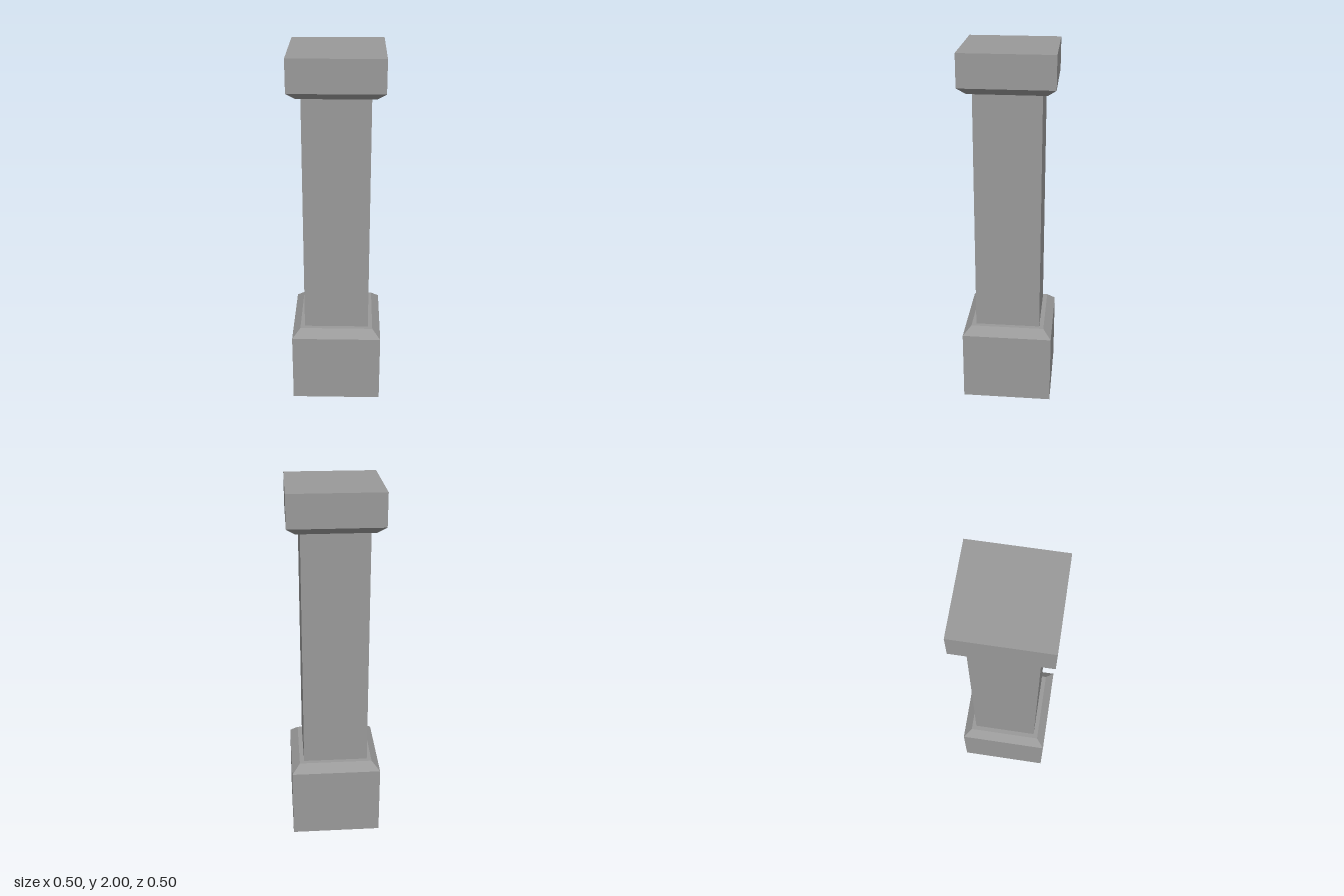
import * as THREE from 'three';

const stone = new THREE.MeshStandardMaterial({ color: 0x999999 });
stone.name = 'grey stone';

// Square-plan solid from a profile of [half width, height], bottom to top
function squareBlock(name, profile) {
  const points = profile.map(([half, y]) => new THREE.Vector2(half * Math.SQRT2, y));
  const geometry = new THREE.LatheGeometry(points, 4, Math.PI / 4).toNonIndexed();
  geometry.computeVertexNormals(); // crisp flat faces
  const mesh = new THREE.Mesh(geometry, stone);
  mesh.name = name;
  return mesh;
}

export function createModel() {
  const pillar = new THREE.Group();
  pillar.name = 'pillar';

  // Tall base with a chamfered upper edge
  pillar.add(squareBlock('base', [[0, 0], [0.25, 0], [0.25, 0.4], [0.205, 0.445], [0, 0.445]]));

  // Plain square shaft
  const shaft = new THREE.Mesh(new THREE.BoxGeometry(0.36, 1.345, 0.36), stone);
  shaft.name = 'shaft';
  shaft.position.y = 0.445 + 1.345 / 2;
  pillar.add(shaft);

  // Capital with a chamfered lower edge
  pillar.add(squareBlock('capital', [[0, 1.787], [0.205, 1.787], [0.25, 1.825], [0.25, 2], [0, 2]]));

  return pillar;
}
